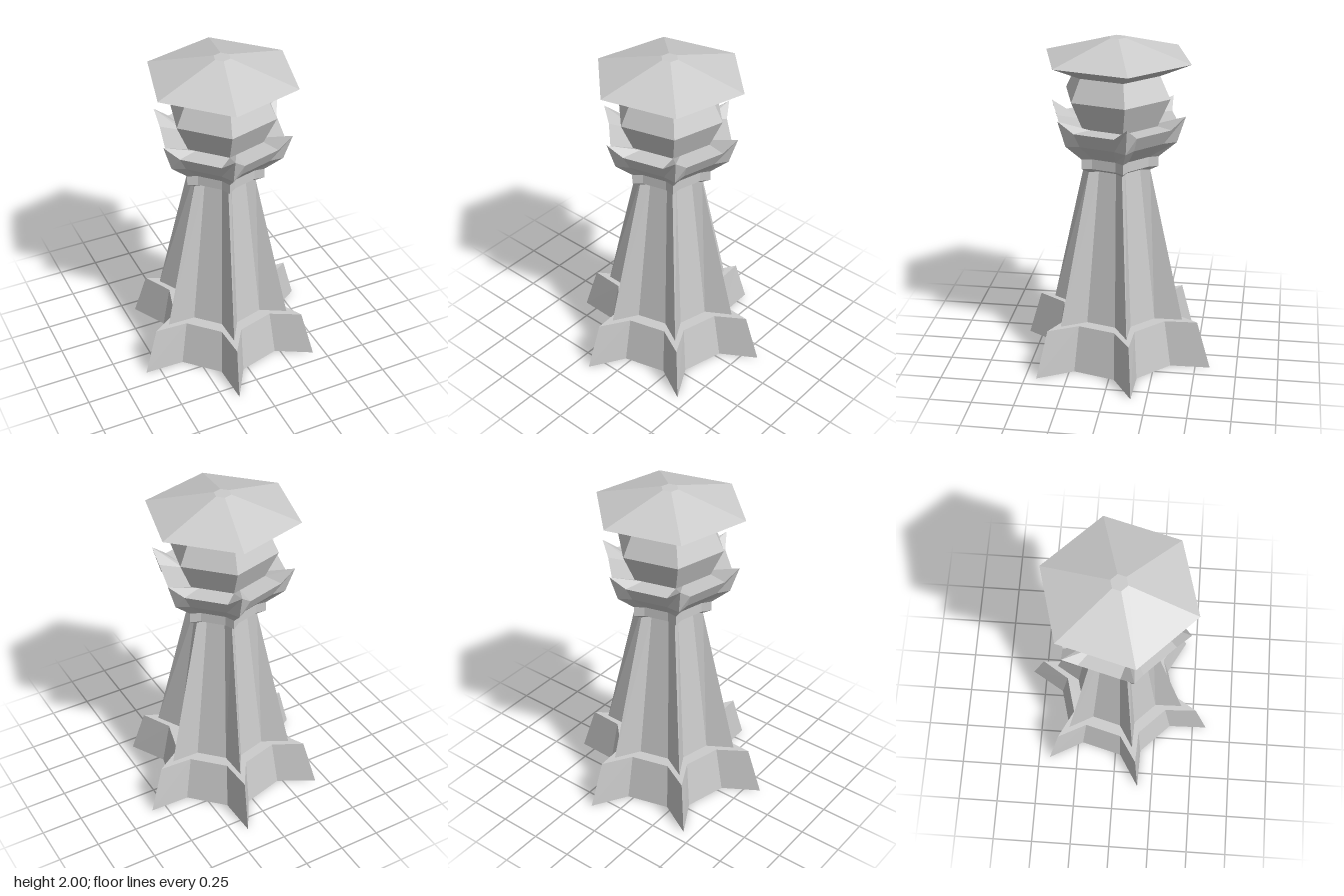
import * as THREE from 'three';

const material = new THREE.MeshStandardMaterial({
  color: 0xcccccc, flatShading: true, side: THREE.DoubleSide,
});
const TURN = -Math.PI / 12;              // direction of the first star point
const NOTCH = THREE.MathUtils.degToRad(10.2); // angle from a point to its notches

// One six-pointed cross-section: each point has a notch on either side.
function starRing([y, tipR, notchR, notchY = y]) {
  const ring = [];
  for (let k = 0; k < 6; k++) {
    for (const side of [-1, 0, 1]) {
      const a = TURN + k * Math.PI / 3 + side * NOTCH;
      const r = side ? notchR : tipR;
      ring.push([r * Math.cos(a), side ? notchY : y, r * Math.sin(a)]);
    }
  }
  return ring;
}

// Skin joining successive star cross-sections.
function starLoft(name, sections) {
  const rings = sections.map(starRing);
  const pos = [];
  for (let j = 0; j + 1 < rings.length; j++) {
    const low = rings[j], up = rings[j + 1], n = low.length;
    for (let i = 0; i < n; i++) {
      const m = (i + 1) % n;
      pos.push(...low[i], ...up[i], ...low[m], ...low[m], ...up[i], ...up[m]);
    }
  }
  const geo = new THREE.BufferGeometry();
  geo.setAttribute('position', new THREE.Float32BufferAttribute(pos, 3));
  geo.computeVertexNormals();
  const mesh = new THREE.Mesh(geo, material);
  mesh.name = name;
  return mesh;
}

// Hexagonal frustum, corners lined up with the star points.
function hexFrustum(name, y0, r0, y1, r1, open = true) {
  const geo = new THREE.CylinderGeometry(r1, r0, y1 - y0, 6, 1, open, Math.PI / 4);
  geo.translate(0, (y0 + y1) / 2, 0);
  const mesh = new THREE.Mesh(geo, material);
  mesh.name = name;
  return mesh;
}

export function createModel() {
  const tower = new THREE.Group();
  tower.name = 'tower';

  // Hollow star-shaped plinth with its ledge
  tower.add(starLoft('base', [
    [0, 0.61, 0.385], [0.29, 0.522, 0.34], [0.29, 0.425, 0.268],
  ]));
  // Tapering ribbed shaft
  tower.add(starLoft('shaft', [[0.29, 0.425, 0.268], [1.23, 0.208, 0.158]]));
  // Narrow collar under the crown
  tower.add(starLoft('collar', [
    [1.23, 0.208, 0.158], [1.26, 0.26, 0.215], [1.32, 0.26, 0.215],
  ]));
  // Flared crown: raised points, lower rim, inside sloping to the head
  tower.add(starLoft('crown', [
    [1.32, 0.26, 0.215], [1.42, 0.37, 0.315],
    [1.58, 0.422, 0.365, 1.51], [1.5, 0.25, 0.23],
  ]));

  // Faceted head
  const head = new THREE.Group();
  head.name = 'head';
  head.add(hexFrustum('headLower', 1.5, 0.25, 1.67, 0.326));
  head.add(hexFrustum('headUpper', 1.67, 0.326, 1.8, 0.263));
  tower.add(head);

  // Overhanging roof
  const roof = new THREE.Group();
  roof.name = 'roof';
  roof.add(hexFrustum('eaves', 1.8, 0.263, 1.885, 0.45));
  roof.add(hexFrustum('roofSlope', 1.885, 0.45, 2, 0.05));
  const cap = new THREE.Mesh(new THREE.CircleGeometry(0.05, 6, Math.PI / 12), material);
  cap.name = 'roofCap';
  cap.rotation.x = -Math.PI / 2;
  cap.position.y = 2;
  roof.add(cap);
  tower.add(roof);

  return tower;
}
